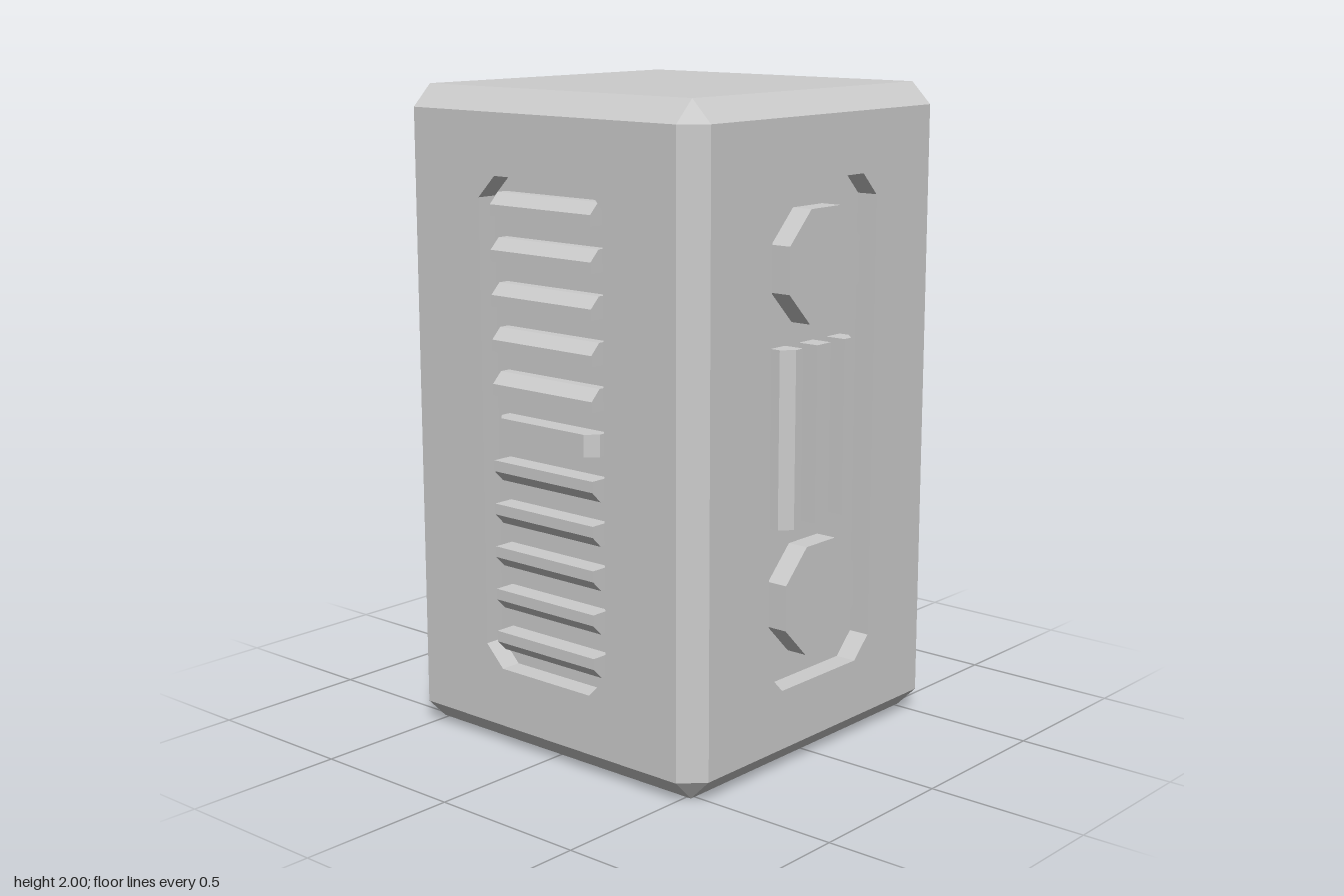
import * as THREE from 'three';

const A = 0.583;      // half width of the body
const BEVEL = 0.0665; // edge bevel
const B = A - BEVEL;
const H = 2;
const DEPTH = 0.067;  // depth of the recesses

const material = new THREE.MeshStandardMaterial({ color: 0xcccccc, flatShading: true });

function add(parent, name, geometry, x = 0, y = 0, z = 0) {
  const mesh = new THREE.Mesh(geometry, material);
  mesh.name = name;
  mesh.position.set(x, y, z);
  parent.add(mesh);
  return mesh;
}

// Flat-shaded geometry from quads with counter-clockwise corners
function quads(list) {
  const pos = [];
  for (const [a, b, c, d] of list) pos.push(...a, ...b, ...c, ...a, ...c, ...d);
  const g = new THREE.BufferGeometry();
  g.setAttribute('position', new THREE.Float32BufferAttribute(pos, 3));
  g.computeVertexNormals();
  return g;
}

// Square ring of eight points: corners cut when side > B, doubled when side = B
function ring(side, y) {
  const pts = [];
  let pair = [[-B, side], [B, side]];
  for (let k = 0; k < 4; k++) {
    for (const [x, z] of pair) pts.push([x, y, z]);
    pair = pair.map(([x, z]) => [z, -x]);
  }
  return pts;
}

// Bevelled edges, top and bottom; the four side faces are left open
function frameGeometry() {
  const rings = [ring(B, 0), ring(A, BEVEL), ring(A, H - BEVEL), ring(B, H)];
  const list = [];
  for (let j = 0; j < 3; j++) {
    for (let i = 0; i < 8; i++) {
      if (j === 1 && i % 2 === 0) continue;
      const n = (i + 1) % 8;
      list.push([rings[j][i], rings[j][n], rings[j + 1][n], rings[j + 1][i]]);
    }
  }
  const [lo, , , hi] = rings;
  list.push([hi[0], hi[2], hi[4], hi[6]], [lo[6], lo[4], lo[2], lo[0]]);
  return quads(list);
}

// Rectangle with cut corners, counter-clockwise
function cutRect(w, h, c) {
  return [[-w + c, -h], [w - c, -h], [w, -h + c], [w, h - c],
    [w - c, h], [-w + c, h], [-w, h - c], [-w, -h + c]].map(([x, y]) => new THREE.Vector2(x, y));
}

// Upright bar; its outer face is bevelled on the chosen sides
function barGeometry(width, length, bevelLeft, bevelRight) {
  const w = width / 2, c = DEPTH / 2;
  const pts = [[-w, 0], [w, 0]];
  pts.push(...(bevelRight ? [[w, c], [w - c, DEPTH]] : [[w, DEPTH]]));
  pts.push(...(bevelLeft ? [[-w + c, DEPTH], [-w, c]] : [[-w, DEPTH]]));
  const shape = new THREE.Shape(pts.map(([x, y]) => new THREE.Vector2(x, y)));
  const g = new THREE.ExtrudeGeometry(shape, { depth: length, bevelEnabled: false });
  return g.translate(0, 0, -length / 2).rotateX(Math.PI / 2);
}

// One side of the body: face with opening, recess walls and recess floor
function recessedSide(name) {
  const side = new THREE.Group();
  side.name = name;
  side.position.y = H / 2;
  const outline = cutRect(0.247, 0.75, 0.067);
  const h = H / 2 - BEVEL;
  const face = new THREE.Shape(cutRect(B, h, 0));
  face.holes.push(new THREE.Path([...outline].reverse()));
  add(side, 'sideFace', new THREE.ShapeGeometry(face), 0, 0, A);
  add(side, 'recessFloor', new THREE.ShapeGeometry(new THREE.Shape(outline)), 0, 0, A - DEPTH);
  const walls = outline.map((p, i) => {
    const q = outline[(i + 1) % outline.length];
    return [[p.x, p.y, A], [q.x, q.y, A], [q.x, q.y, A - DEPTH], [p.x, p.y, A - DEPTH]];
  });
  add(side, 'recessWalls', quads(walls));
  return side;
}

// Side with two octagonal studs and three upright bars
function studSide(name) {
  const side = recessedSide(name);
  for (const y of [-0.5, 0.5]) {
    const r = 0.167 / Math.cos(Math.PI / 8);
    const g = new THREE.CylinderGeometry(r, r, DEPTH, 8, 1, false, Math.PI / 8).rotateX(Math.PI / 2);
    add(side, 'octagonStud', g, 0, y, A - DEPTH / 2);
  }
  for (const k of [-1, 0, 1]) {
    add(side, 'uprightBar', barGeometry(0.067, 0.535, k < 0, k > 0), k * 0.133, 0, A - DEPTH);
  }
  return side;
}

// Side with a column of slats, bevelled away from the middle
function slatSide(name) {
  const side = recessedSide(name);
  for (let k = -5; k <= 5; k++) {
    const g = k === 0
      ? barGeometry(0.4, 0.067, true, true)
      : barGeometry(0.067, 0.4, k < 0, k > 0).rotateZ(Math.PI / 2);
    add(side, 'slat', g, 0, k * 0.1333, A - DEPTH);
  }
  return side;
}

export function createModel() {
  const model = new THREE.Group();
  model.name = 'ventedBlock';
  add(model, 'bevelledFrame', frameGeometry());
  const sides = [studSide('frontSide'), slatSide('leftSide'), studSide('backSide'), slatSide('rightSide')];
  sides.forEach((side, i) => {
    side.rotation.y = i * Math.PI / 2;
    model.add(side);
  });
  return model;
}
